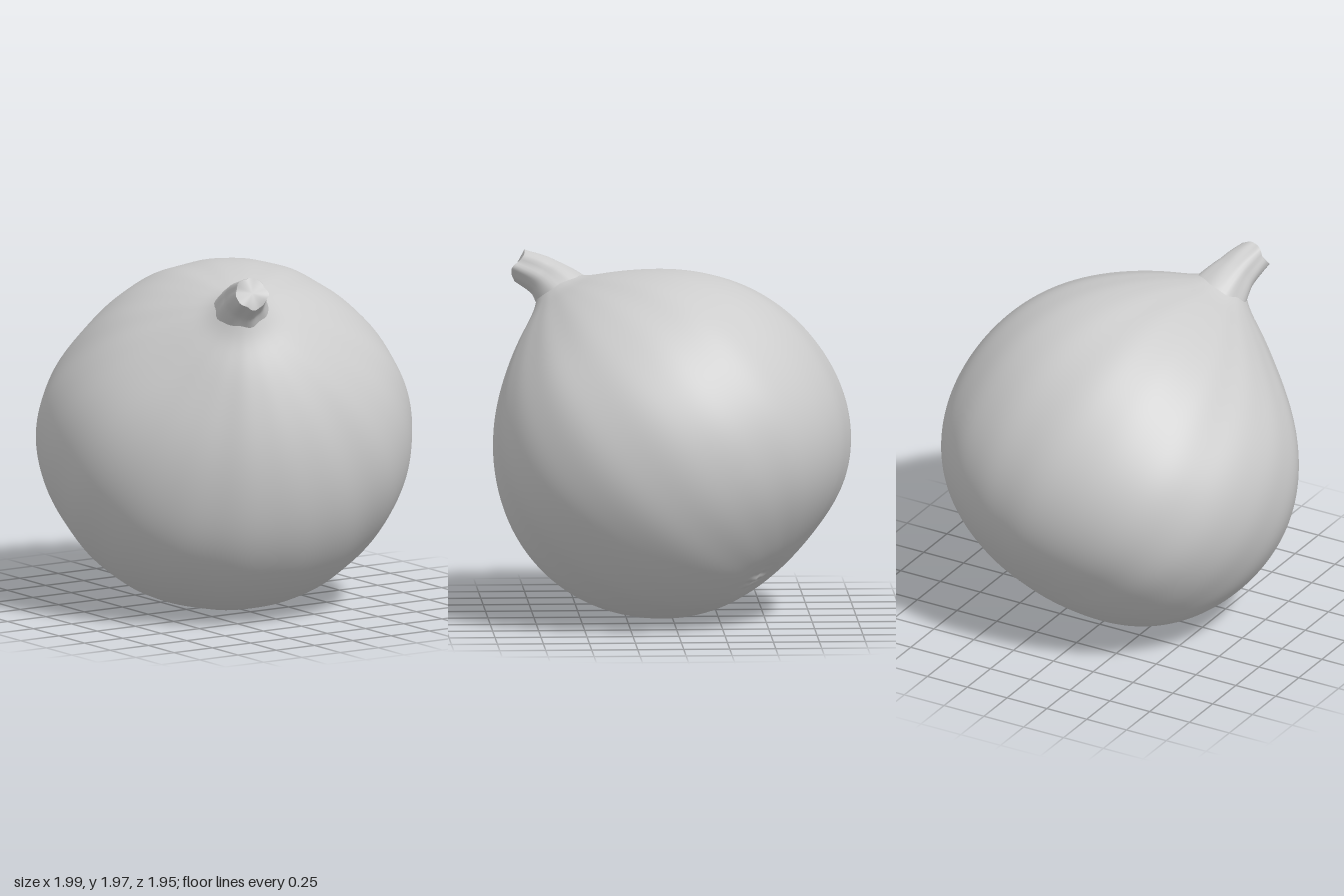
import * as THREE from 'three';
import { mergeVertices } from 'three/addons/utils/BufferGeometryUtils.js';

const V = (x, y, z) => new THREE.Vector3(x, y, z);
const stemAxis = V(-0.28, 0.77, 0.58).normalize();
const scarAxis = V(0.4, -0.67, -0.43).normalize();
const CENTRE_Y = 0.95;

// Radius of the fruit in a few directions: x, y, z, radius
const samples = [
  [1, 0, 0, 0.997], [-1, 0, 0, 0.997], [0, 1, 0, 0.952], [0, -1, 0, 0.942], [0, 0, 1, 0.972], [0, 0, -1, 0.97],
  [1, 1, 0, 0.972], [1, -1, 0, 0.98], [-1, 1, 0, 0.937], [-1, -1, 0, 0.982],
  [0, 1, 1, 0.98], [0, -1, 1, 0.985], [0, 1, -1, 0.955], [0, -1, -1, 0.9],
  [1, 0, 1, 1.022], [-1, 0, 1, 0.935], [1, 0, -1, 0.985], [-1, 0, -1, 1.022],
  [1, -1, -1, 0.92], [-1, -1.5, -1, 0.97], [1, -1.5, 1, 0.98], [-1, -1.5, 1, 0.985],
  [1, 1.5, -1, 0.965], [-1, 1.5, -1, 0.945],
].map(([x, y, z, r]) => ({ dir: V(x, y, z).normalize(), r, fit: r }));

// Smooth lump around an axis
const lump = (d, axis, k) => Math.exp(k * (d.dot(axis) - 1));

// Weighted blend of the samples around a direction
function blend(d) {
  let sum = 0, weight = 0;
  for (const s of samples) {
    const w = lump(d, s.dir, 9);
    sum += w * s.fit;
    weight += w;
  }
  return sum / weight;
}

// Adjust the samples until the blend passes through the wanted radii
for (let n = 0; n < 15; n++) {
  const errors = samples.map((s) => s.r - blend(s.dir));
  samples.forEach((s, i) => { s.fit += errors[i]; });
}

// Body radius plus stem swelling, ribs and blossom scar
function radius(d, phi) {
  let r = blend(d);
  r += 0.07 * lump(d, stemAxis, 15) + 0.1 * lump(d, stemAxis, 130);
  const c = d.dot(stemAxis);
  const fade = (1 - c * c) * (0.3 + 0.7 * lump(d, stemAxis, 2.5));
  r += fade * (0.005 * Math.sin(7 * phi + 1) + 0.005 * Math.sin(12 * phi + 2.3) + 0.004 * Math.sin(19 * phi));
  r -= 0.02 * lump(d, scarAxis, 120);
  r += lump(d, scarAxis, 350) * (0.014 + 0.012 * Math.sin(48 * d.x + 20 * d.y) * Math.sin(50 * d.z - 25 * d.y));
  return r;
}

function createBody() {
  let geo = new THREE.SphereGeometry(1, 192, 128);
  geo.deleteAttribute('uv');
  geo.deleteAttribute('normal');
  geo = mergeVertices(geo, 1e-5);
  const tilt = new THREE.Quaternion().setFromUnitVectors(V(0, 1, 0), stemAxis);
  const pos = geo.attributes.position;
  const p = V(0, 0, 0);
  for (let i = 0; i < pos.count; i++) {
    p.fromBufferAttribute(pos, i).normalize();
    const phi = Math.atan2(p.z, p.x);
    p.applyQuaternion(tilt);
    p.multiplyScalar(radius(p, phi));
    pos.setXYZ(i, p.x, p.y + CENTRE_Y, p.z);
  }
  // Settle the fruit on the ground
  geo.computeBoundingBox();
  geo.translate(0, -geo.boundingBox.min.y, 0);
  geo.computeVertexNormals();
  return geo;
}

// Tapered stalk with a wide foot and a rough cut end
function createStem() {
  const path = new THREE.CatmullRomCurve3([
    V(-0.22, 1.55, 0.44), V(-0.27, 1.71, 0.56), V(-0.32, 1.82, 0.675), V(-0.365, 1.885, 0.81),
  ]);
  const radii = [0.22, 0.165, 0.112, 0.088];
  const rings = 30, sides = 40;
  const frames = path.computeFrenetFrames(rings, false);
  const verts = [], index = [];
  for (let i = 0; i <= rings; i++) {
    const t = i / rings;
    // Frames are spaced by length, so the points are too
    const c = path.getPointAt(t);
    const f = path.getUtoTmapping(t) * 3, k = Math.min(2, Math.floor(f));
    const base = THREE.MathUtils.lerp(radii[k], radii[k + 1], f - k);
    for (let j = 0; j < sides; j++) {
      const a = (j / sides) * Math.PI * 2;
      const r = base * (1 + t * (0.045 * Math.sin(5 * a + 0.6) + 0.03 * Math.sin(8 * a + 4 * t)));
      const p = c.clone()
        .addScaledVector(frames.normals[i], r * Math.cos(a))
        .addScaledVector(frames.binormals[i], r * Math.sin(a));
      if (i === rings) p.addScaledVector(frames.tangents[i], 0.012 * Math.sin(3 * a));
      verts.push(p.x, p.y, p.z);
      if (i < rings) {
        const n = (j + 1) % sides, q = i * sides;
        index.push(q + j, q + n, q + sides + j, q + n, q + sides + n, q + sides + j);
      }
    }
  }
  // Cut end: own rim so that the edge stays sharp
  const rim = verts.length / 3;
  verts.push(...verts.slice(rings * sides * 3));
  const tip = path.getPoint(1).addScaledVector(frames.tangents[rings], 0.015);
  verts.push(tip.x, tip.y, tip.z);
  for (let j = 0; j < sides; j++) index.push(rim + j, rim + ((j + 1) % sides), rim + sides);
  const geo = new THREE.BufferGeometry();
  geo.setAttribute('position', new THREE.Float32BufferAttribute(verts, 3));
  geo.setIndex(index);
  geo.computeVertexNormals();
  return geo;
}

export function createModel() {
  const group = new THREE.Group();
  group.name = 'pumpkin';
  const skin = new THREE.MeshStandardMaterial({ color: 0xcccccc });
  skin.name = 'light grey';
  const add = (name, geo) => {
    const mesh = new THREE.Mesh(geo, skin);
    mesh.name = name;
    group.add(mesh);
  };
  add('fruit', createBody());
  add('stem', createStem());
  return group;
}
